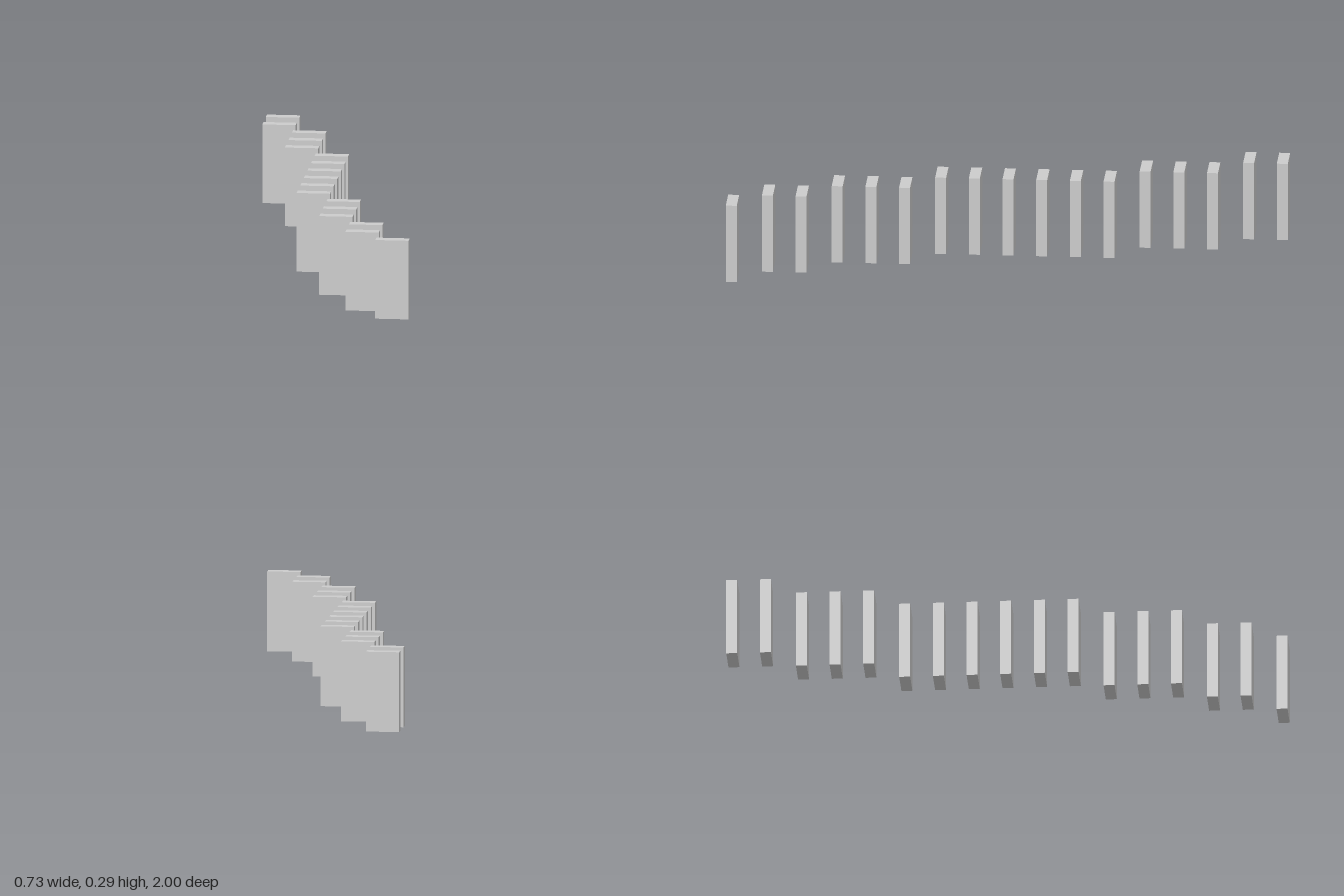
import * as THREE from 'three';

export function createModel() {
  const group = new THREE.Group();
  group.name = 'slabRow';
  const material = new THREE.MeshStandardMaterial({ color: 0xcccccc, flatShading: true });

  const width = 0.1219, height = 0.2926, depth = 0.04;
  const geometry = new THREE.BoxGeometry(width, height, depth);

  // sideways column of each upright slab, from back to front
  const columns = [-3, -3, -2, -2, -2, -1, -1, -1, -1, -1, -1, 0, 0, 0, 1, 1, 2];
  const pitch = (2 - depth) / (columns.length - 1);

  columns.forEach((column, i) => {
    const slab = new THREE.Mesh(geometry, material);
    slab.name = `slab${i + 1}`;
    slab.position.set((column + 0.5) * width, height / 2, -1 + depth / 2 + i * pitch);
    group.add(slab);
  });
  return group;
}
